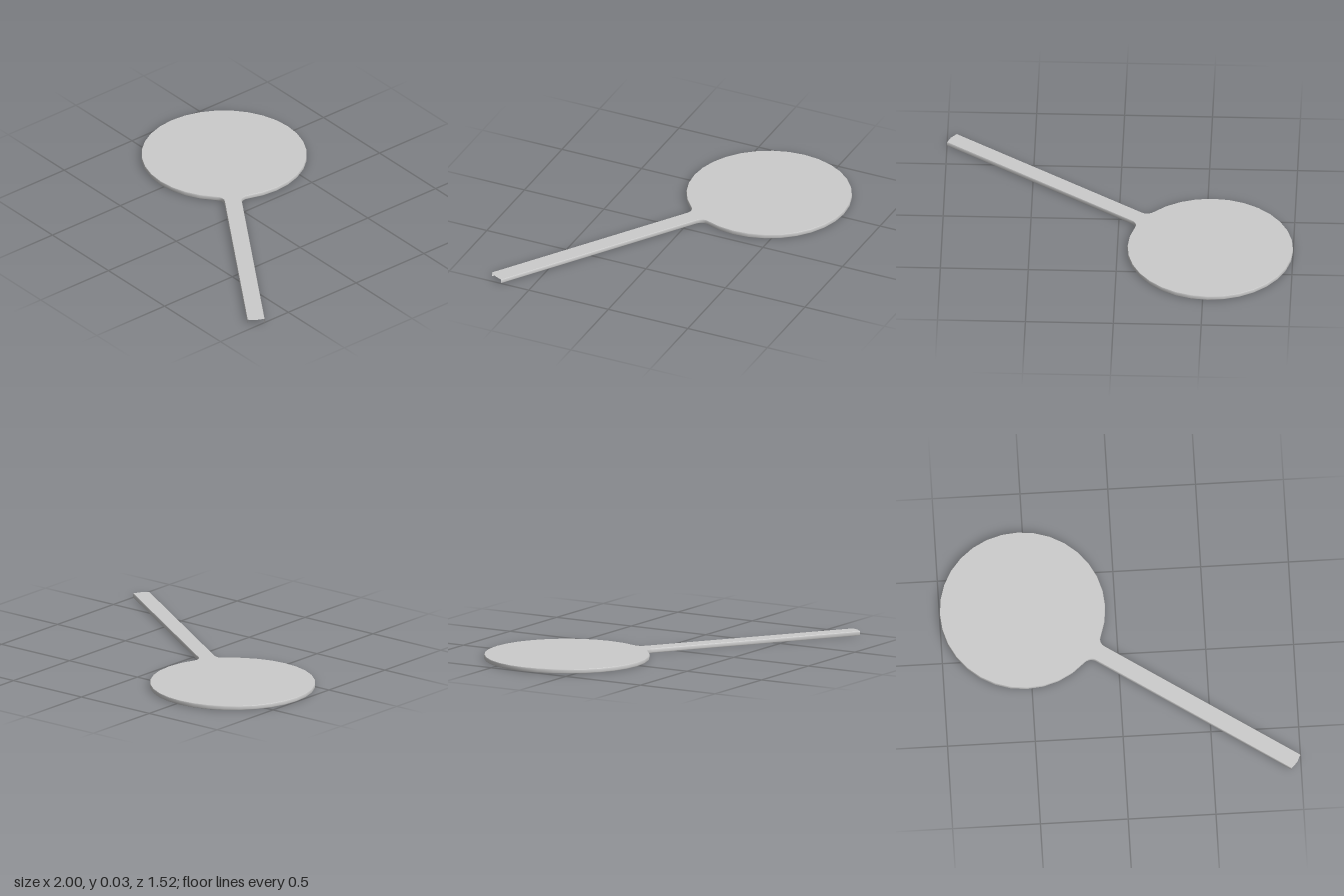
import * as THREE from 'three';

const R = 0.472, HALF = 0.05, FILLET = 0.05, END = 1.806, HEIGHT = 0.025;

// Plan outline [u, v] along the handle axis, open at the handle end
function outline(inset) {
  const pts = [];
  const r = FILLET + inset, cv = HALF + FILLET;
  const cu = Math.sqrt((R + FILLET) ** 2 - cv * cv);
  const tangent = Math.atan2(cv, cu);
  // handle side and neck fillet
  const side = [[END, -HALF + inset]];
  for (let i = 0; i <= 5; i++) {
    const a = Math.PI / 2 + (Math.PI / 2 - tangent) * (i / 5);
    side.push([cu + r * Math.cos(a), -cv + r * Math.sin(a)]);
  }
  pts.push(...side);
  // round head
  const n = 30;
  for (let i = 1; i < n; i++) {
    const a = -tangent - (2 * Math.PI - 2 * tangent) * (i / n);
    pts.push([(R - inset) * Math.cos(a), (R - inset) * Math.sin(a)]);
  }
  // mirrored neck and handle side
  pts.push(...side.reverse().map(([u, v]) => [u, -v]));
  return pts;
}

// Thin wall following the outline, with softened upper and lower edges
function wallGeometry(levels) {
  const pos = [], index = [];
  const rings = levels.map(([y, inset]) => outline(inset).map(([u, v]) => [u, y, v]));
  const n = rings[0].length;
  rings.forEach(ring => ring.forEach(p => pos.push(...p)));
  for (let j = 0; j < rings.length - 1; j++) {
    for (let i = 0; i < n - 1; i++) {
      const a = j * n + i, b = a + 1, c = b + n, d = a + n;
      index.push(a, b, c, a, c, d);
    }
  }
  const g = new THREE.BufferGeometry();
  g.setAttribute('position', new THREE.Float32BufferAttribute(pos, 3));
  g.setIndex(index);
  g.computeVertexNormals();
  return g;
}

export function createModel() {
  const group = new THREE.Group();
  group.name = 'paddle';
  const material = new THREE.MeshStandardMaterial({ color: 0xcccccc, side: THREE.DoubleSide });
  const inset = 0.003;

  // Flat top sheet, with a slightly bowed handle end
  const points = outline(inset).map(([u, v]) => new THREE.Vector2(u, v));
  points.push(new THREE.Vector2(END + 0.008, 0));
  const sheet = new THREE.ShapeGeometry(new THREE.Shape(points));
  sheet.rotateX(-Math.PI / 2);
  sheet.translate(0, HEIGHT, 0);
  const top = new THREE.Mesh(sheet, material);
  top.name = 'topSheet';

  // Side wall; the underside and the handle end stay open
  const wall = new THREE.Mesh(
    wallGeometry([[0, inset], [0.005, 0], [HEIGHT - 0.005, 0], [HEIGHT, inset]]), material);
  wall.name = 'sideWall';

  // Head centre and handle direction in plan
  const body = new THREE.Group();
  body.name = 'paddleBody';
  body.add(top, wall);
  body.position.set(-0.528, 0, -0.289);
  body.rotation.y = -0.59;
  group.add(body);
  return group;
}
